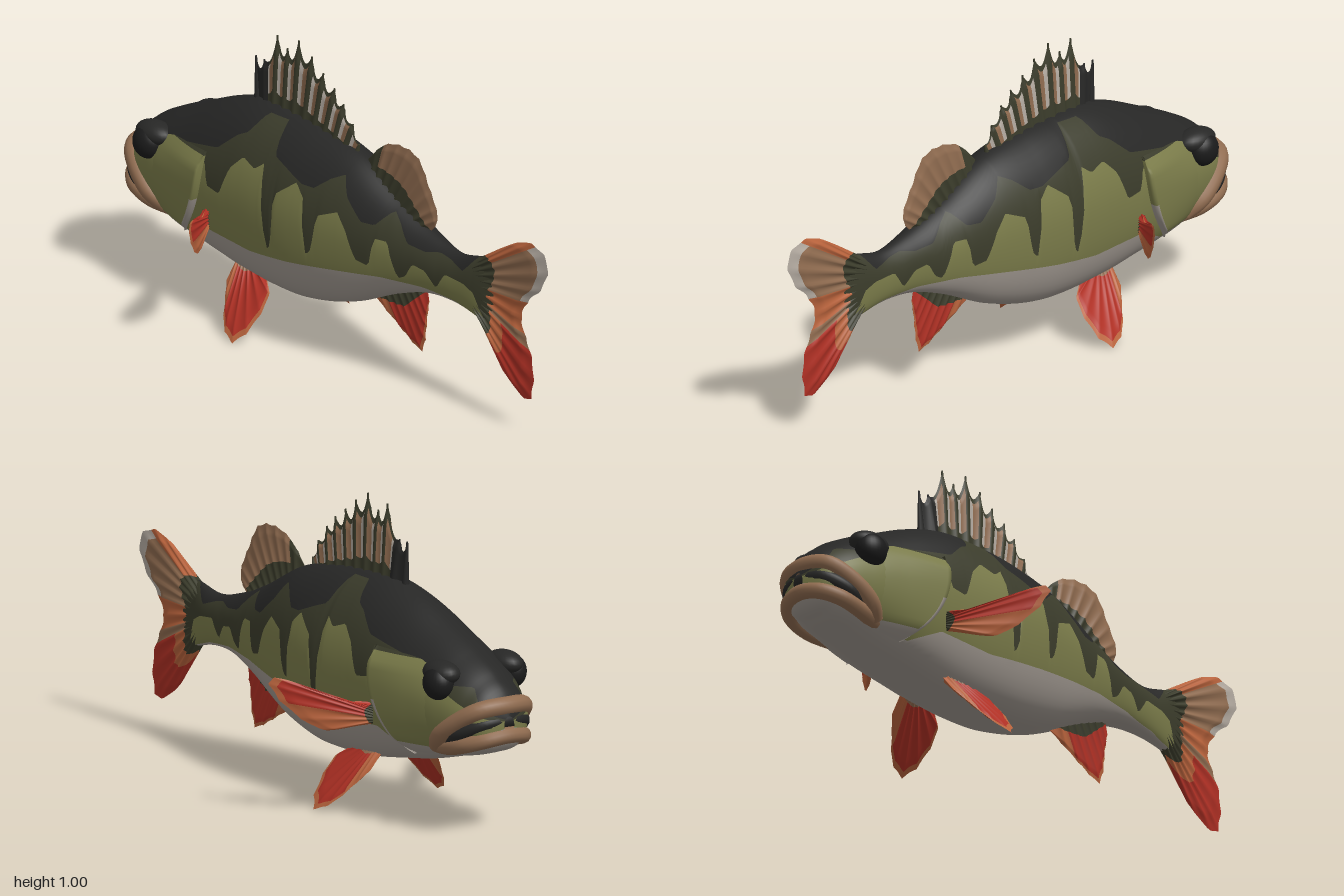
import * as THREE from 'three';

const COLORS = {
  black: 0x272726, darkOlive: 0x3b3c2b, olive: 0x7b7c4a, belly: 0xa09890, red: 0xb03024,
  orange: 0xb9633c, tan: 0x906c50, paleGrey: 0xb5aca2, eyeBlack: 0x1b1b1b,
};
const NAMES = Object.keys(COLORS);
const table = (Type, size, rows) => new Type(
  rows.map((r) => r[0]), rows.flatMap((r) => r.slice(1)), size, new Float32Array(size));

// Body stations: x, top, bottom, half width
const hull = table(THREE.CubicInterpolant, 3, [
  [-0.985, 0.41, 0.35, 0.02], [-0.97, 0.455, 0.315, 0.07], [-0.9, 0.53, 0.275, 0.125],
  [-0.8, 0.59, 0.25, 0.158], [-0.66, 0.655, 0.215, 0.175], [-0.52, 0.715, 0.19, 0.182],
  [-0.38, 0.752, 0.168, 0.184], [-0.2, 0.752, 0.158, 0.184], [-0.08, 0.74, 0.165, 0.176],
  [0.1, 0.7, 0.21, 0.146], [0.3, 0.6, 0.3, 0.1], [0.44, 0.545, 0.345, 0.067],
  [0.56, 0.52, 0.35, 0.045], [0.66, 0.54, 0.33, 0.032], [0.74, 0.56, 0.3, 0.014],
]);
// Lower edge of the black back, of the dark bars, and of the olive flank
const backEdge = table(THREE.LinearInterpolant, 1, [
  [-0.985, 0.4], [-0.9, 0.5], [-0.8, 0.5], [-0.7, 0.55], [-0.55, 0.58], [-0.45, 0.6], [-0.38, 0.66],
  [-0.34, 0.68], [-0.31, 0.74], [-0.22, 0.74], [-0.19, 0.65], [-0.13, 0.63], [-0.05, 0.6], [0, 0.6],
  [0.05, 0.64], [0.09, 0.66], [0.13, 0.6], [0.2, 0.54], [0.25, 0.54], [0.29, 0.59], [0.33, 0.56],
  [0.38, 0.51], [0.45, 0.5], [0.5, 0.51], [0.55, 0.5], [0.61, 0.48], [0.66, 0.54], [0.74, 0.55],
]);
const barEdge = table(THREE.LinearInterpolant, 1, [
  [-0.985, 0.395], [-0.8, 0.49], [-0.55, 0.56], [-0.49, 0.54], [-0.47, 0.47], [-0.41, 0.46], [-0.37, 0.56],
  [-0.32, 0.61], [-0.26, 0.59], [-0.22, 0.62], [-0.2, 0.45], [-0.185, 0.34], [-0.165, 0.36], [-0.15, 0.54],
  [-0.07, 0.6], [-0.03, 0.56], [-0.01, 0.37], [0.015, 0.4], [0.035, 0.52], [0.11, 0.55], [0.15, 0.5],
  [0.19, 0.41], [0.24, 0.4], [0.26, 0.5], [0.31, 0.5], [0.35, 0.385], [0.38, 0.4], [0.41, 0.45],
  [0.46, 0.44], [0.5, 0.39], [0.54, 0.45], [0.62, 0.44], [0.66, 0.42], [0.7, 0.33], [0.74, 0.3],
]);
const bellyEdge = table(THREE.LinearInterpolant, 1, [
  [-0.985, 0.37], [-0.9, 0.3], [-0.8, 0.28], [-0.62, 0.25], [-0.5, 0.31], [-0.28, 0.3], [-0.1, 0.32],
  [0.12, 0.35], [0.28, 0.37], [0.44, 0.375], [0.58, 0.36], [0.68, 0.33], [0.74, 0.29],
]);

// Point on the hull at angle a from the back (0) to the belly (PI)
function hullPoint(x, a, out = 0) {
  const [top, bottom, w] = hull.evaluate(x);
  const s = Math.max(0, Math.sin(a)) ** (a < Math.PI / 2 ? 1.15 : 0.62);
  return [x, (top + bottom) / 2 + (top - bottom) / 2 * Math.cos(a), w * s + out];
}
function hullAngle(x, y) {
  const [top, bottom] = hull.evaluate(x);
  return Math.acos(THREE.MathUtils.clamp((2 * y - top - bottom) / (top - bottom), -1, 1));
}

export function createModel() {
  const model = new THREE.Group();
  const mats = NAMES.map((name) =>
    new THREE.MeshStandardMaterial({ name, color: COLORS[name], side: THREE.DoubleSide }));
  const mat = (name) => mats[NAMES.indexOf(name)];
  const add = (name, geometry, material, parent = model) => {
    const mesh = new THREE.Mesh(geometry, material);
    mesh.name = name;
    parent.add(mesh);
    return mesh;
  };

  // Grid surface whose cells are coloured by a rule; closed wraps the columns
  function surface(name, rows, cols, point, color, closed, parent) {
    const pos = [], buckets = NAMES.map(() => []);
    const n = closed ? cols : cols + 1;
    for (let i = 0; i <= rows; i++) for (let j = 0; j < n; j++) pos.push(...point(i, j));
    for (let i = 0; i < rows; i++) for (let j = 0; j < cols; j++) {
      const a = i * n + j, c = i * n + (j + 1) % n, b = a + n, d = c + n;
      buckets[NAMES.indexOf(color(i, j))].push(a, c, b, c, d, b);
    }
    const g = new THREE.BufferGeometry();
    g.setAttribute('position', new THREE.Float32BufferAttribute(pos, 3));
    g.setIndex(buckets.flat());
    let start = 0;
    buckets.forEach((b, k) => {
      if (b.length) g.addGroup(start, b.length, k);
      start += b.length;
    });
    g.computeVertexNormals();
    return add(name, g, mats, parent);
  }

  // Fin between a base line and a curved outer edge, thinning outwards
  function fin(name, base, edge, thick, rays, notch, color, parent) {
    const V = 24, U = 80;
    const curve = new THREE.SplineCurve(edge.map((p) => new THREE.Vector2(...p)));
    const uv = (i, j) => [(j <= U ? j : 2 * U - j) / U, i / V];
    return surface(name, V, 2 * U, (i, j) => {
      const [u, v] = uv(i, j), t = curve.getPoint(u);
      const ray = Math.abs(Math.sin(Math.PI * rays * u));
      const k = v * (1 - notch * ray);
      const bx = base[0][0] + (base[1][0] - base[0][0]) * u;
      const by = base[0][1] + (base[1][1] - base[0][1]) * u;
      const z = thick * (1 - 0.65 * v) * Math.min(1, 8 * Math.min(u, 1 - u), 6 * (1 - v)) * (1 - 0.4 * ray);
      return [bx + (t.x - bx) * k, by + (t.y - by) * k, j <= U ? z : -z];
    }, (i, j) => color(...uv(i + 0.5, j + 0.5)), true, parent);
  }

  // Body with rings aligned to the markings
  const bands = [['black', 8], ['darkOlive', 5], ['olive', 9], ['belly', 10]];
  const half = bands.flatMap(([c, n], k) => Array.from({ length: n }, (_, s) => [c, k, s / n]));
  const H = half.length, COLS = 170;
  surface('body', COLS, 2 * H, (i, j) => {
    const x = -0.985 + 1.725 * i / COLS;
    const limits = [0];
    for (const e of [backEdge, barEdge, bellyEdge])
      limits.push(Math.max(limits.at(-1), hullAngle(x, e.evaluate(x)[0])));
    limits.push(Math.PI);
    const m = j <= H ? j : 2 * H - j;
    const [, k, f] = m === H ? [0, 3, 1] : half[m];
    const p = hullPoint(x, limits[k] + (limits[k + 1] - limits[k]) * f);
    return j <= H ? p : [p[0], p[1], -p[2]];
  }, (i, j) => half[j < H ? j : 2 * H - 1 - j][0], true);

  // Mouth: two lips around a dark gap
  const lip = (name, pts, r, material) => {
    const mirrored = pts.slice(0, -1).reverse().map(([x, y, z]) => [x, y, -z]);
    const path = new THREE.CatmullRomCurve3([...pts, ...mirrored].map((p) => new THREE.Vector3(...p)));
    add(name, new THREE.TubeGeometry(path, 48, r, 12), material);
  };
  lip('upperLip', [[-0.75, 0.29, 0.11], [-0.8, 0.33, 0.138], [-0.88, 0.39, 0.125], [-0.94, 0.43, 0.085], [-0.963, 0.44, 0]], 0.03, mat('tan'));
  lip('lowerLip', [[-0.74, 0.285, 0.1], [-0.82, 0.295, 0.118], [-0.9, 0.315, 0.112], [-0.955, 0.335, 0.07], [-0.973, 0.345, 0]], 0.027, mat('tan'));
  lip('mouthGap', [[-0.78, 0.305, 0.11], [-0.88, 0.35, 0.12], [-0.945, 0.385, 0.075], [-0.96, 0.393, 0]], 0.024, mat('black'));

  // Paired parts, built on the +z side and mirrored
  for (const [side, sign] of [['left', 1], ['right', -1]]) {
    const pair = new THREE.Group();
    pair.name = side === 'left' ? 'nearSideParts' : 'farSideParts';
    pair.scale.z = sign;
    model.add(pair);

    const eye = add('eye', new THREE.SphereGeometry(0.056, 28, 20), mat('eyeBlack'), pair);
    eye.position.set(-0.8, 0.505, 0.145);
    eye.scale.z = 0.85;
    const brow = add('brow', new THREE.SphereGeometry(0.06, 24, 16), mat('black'), pair);
    brow.position.set(-0.79, 0.535, 0.125);
    brow.scale.set(1.25, 0.65, 0.85);

    // Gill cover, lifting towards its rear edge
    surface('gillCover', 24, 24, (i, j) => {
      const f = j / 24, y = 0.575 - 0.335 * f, u = Math.min(1, i / 22);
      const rear = -0.495 - 0.15 * f ** 2.6;
      const x = -0.79 + (rear + 0.79) * u;
      const lift = i > 22 ? (i === 23 ? 0.012 : -0.012) : -0.004 + 0.03 * u * Math.min(1, 6 * (1 - f) + 0.1, 6 * f + 0.1);
      return hullPoint(x, hullAngle(x, y), lift);
    }, (i, j) => (j < 1 ? 'darkOlive' : j > 20 || (i > 20 && j > 11) ? 'belly' : 'olive'), false, pair);

    // Pectoral fin, spread outwards and back
    const pectoral = fin('pectoralFin', [[0, 0.385], [0, 0.315]],
      [[0.04, 0.388], [0.12, 0.39], [0.21, 0.42], [0.28, 0.457], [0.335, 0.457], [0.32, 0.41], [0.25, 0.34], [0.16, 0.292], [0.06, 0.305]],
      0.014, 9, 0.03,
      (u, v) => (v < 0.1 ? 'darkOlive' : u > 0.68 || v > 0.92 ? 'orange' : 'red'), pair);
    pectoral.position.set(-0.485, 0, 0.17);
    pectoral.rotation.y = -0.88;

    // Pelvic fin, spread outwards and down
    const pelvic = fin('pelvicFin', [[-0.43, 0.02], [-0.33, 0.02]],
      [[-0.425, -0.06], [-0.385, -0.13], [-0.34, -0.2], [-0.27, -0.238], [-0.225, -0.17], [-0.22, -0.06], [-0.26, -0.01]],
      0.014, 8, 0.04,
      (u, v) => (v < 0.12 ? 'tan' : u < 0.25 || v > 0.92 ? 'orange' : 'red'), pair);
    pelvic.position.set(0, 0.19, 0.1);
    pelvic.rotation.x = -0.668;
  }

  // Spiny front dorsal fin
  const spines = [[-0.44, 0.88], [-0.4, 0.88], [-0.335, 0.985], [-0.285, 0.955], [-0.23, 1], [-0.165, 0.965],
    [-0.11, 0.925], [-0.055, 0.89], [-0.01, 0.85], [0.035, 0.795], [0.065, 0.735]];
  const spineBase = [[-0.43, 0.725], [0.05, 0.69]], last = spines.length - 1;
  fin('spinyDorsalFin', spineBase, spines, 0.026, last, 0.2, (u, v) => {
    const f = (u * last) % 1;
    if (u < 0.14) return 'black';
    if (v < 0.35 || v > 0.9 || f < 0.22 || f > 0.85) return 'darkOlive';
    return f < 0.56 ? 'paleGrey' : 'tan';
  });
  spines.forEach(([x, y], k) => {
    const a = new THREE.Vector3(...spineBase[0], 0).lerp(new THREE.Vector3(...spineBase[1], 0), k / last);
    const d = new THREE.Vector3(x, y, 0).sub(a);
    const spine = add('dorsalSpine', new THREE.CylinderGeometry(0.003, 0.013, d.length(), 8), mat(k < 2 ? 'black' : 'darkOlive'));
    spine.position.copy(a).addScaledVector(d, 0.5);
    spine.quaternion.setFromUnitVectors(new THREE.Vector3(0, 1, 0), d.normalize());
  });

  // Soft rear dorsal fin
  fin('softDorsalFin', [[0.11, 0.68], [0.41, 0.54]],
    [[0.11, 0.7], [0.19, 0.775], [0.28, 0.8], [0.36, 0.78], [0.41, 0.7], [0.45, 0.62], [0.44, 0.57]],
    0.022, 10, 0.03,
    (u, v) => (v < 0.32 || u < 0.16 ? 'darkOlive' : 'tan'));

  // Anal fin
  fin('analFin', [[0.15, 0.25], [0.4, 0.345]],
    [[0.14, 0.235], [0.24, 0.18], [0.31, 0.14], [0.375, 0.115], [0.395, 0.18], [0.4, 0.24], [0.41, 0.3]],
    0.018, 8, 0.05,
    (u, v) => (v < 0.25 ? 'darkOlive' : u < 0.22 || v > 0.92 ? 'orange' : 'red'));

  // Forked tail fin
  fin('tailFin', [[0.65, 0.53], [0.65, 0.34]],
    [[0.76, 0.6], [0.85, 0.65], [0.93, 0.665], [0.995, 0.62], [0.97, 0.53], [0.9, 0.46], [0.865, 0.39],
      [0.89, 0.32], [0.92, 0.25], [0.92, 0.15], [0.89, 0.11], [0.8, 0.155], [0.72, 0.25]],
    0.03, 14, 0.03, (u, v) => {
      if (v < 0.28) return 'darkOlive';
      if (u < 0.18) return 'orange';
      if (u < 0.42) return v > 0.86 ? 'paleGrey' : 'tan';
      if (u < 0.56) return 'orange';
      if (u < 0.62) return 'tan';
      return v > 0.5 ? 'red' : 'orange';
    });

  return model;
}
